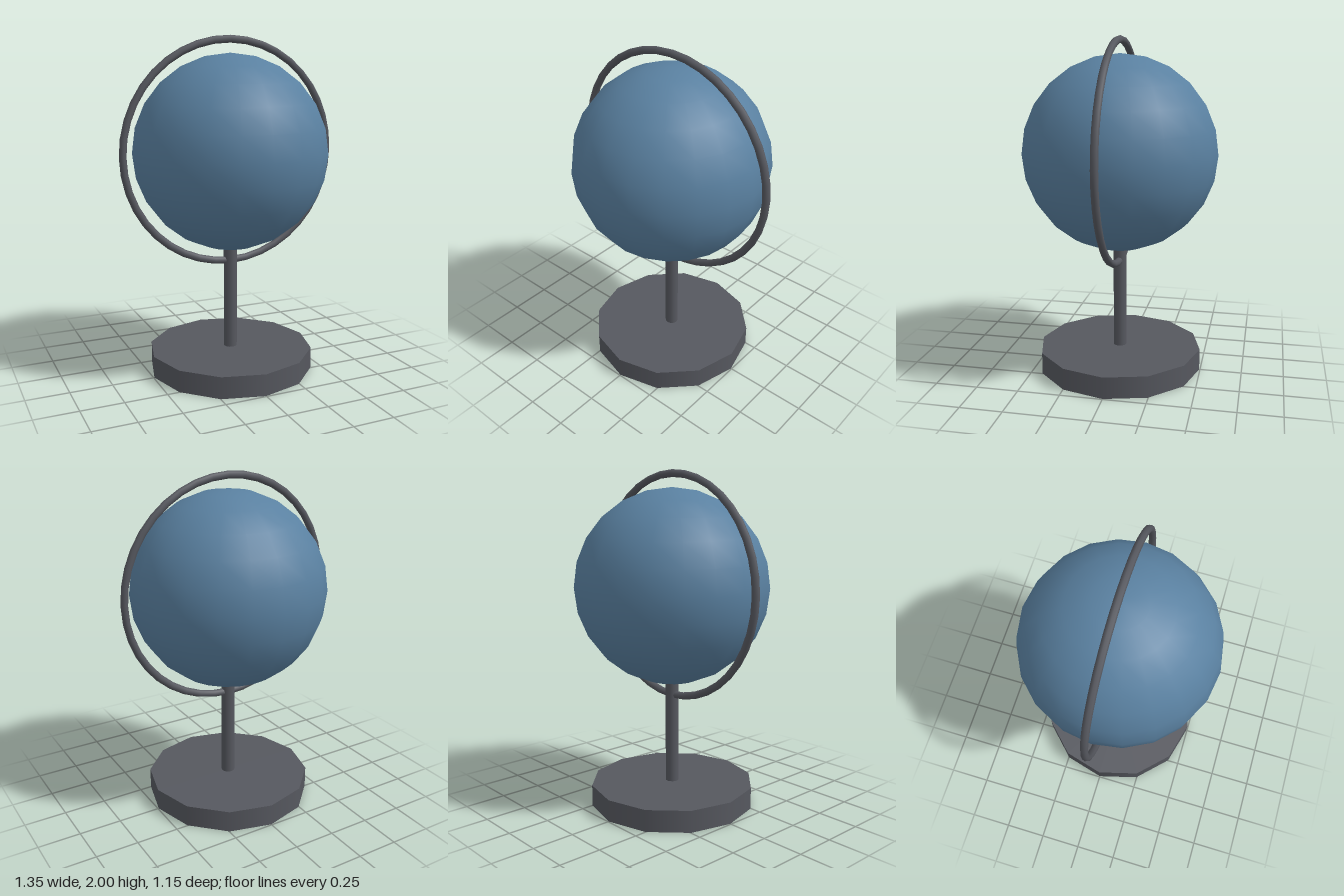
import * as THREE from 'three';

export function createModel() {
  const group = new THREE.Group();
  const metal = new THREE.MeshStandardMaterial({ color: 0x56585f });
  metal.name = 'dark grey metal';
  const blue = new THREE.MeshStandardMaterial({ color: 0x5a81a1 });
  blue.name = 'globe blue';

  const centreY = 1.325;
  const add = (name, geometry, material, y) => {
    const mesh = new THREE.Mesh(geometry, material);
    mesh.name = name;
    mesh.position.y = y;
    group.add(mesh);
  };

  // Round foot
  add('base', new THREE.CylinderGeometry(0.495, 0.495, 0.13, 12), metal, 0.065);

  // Pole from the foot into the underside of the globe
  add('pole', new THREE.CylinderGeometry(0.04, 0.04, 0.66, 12), metal, 0.45);

  // Ball
  add('globe', new THREE.SphereGeometry(0.575, 20, 12), blue, centreY);

  // Upright ring around the ball
  add('meridianRing', new THREE.TorusGeometry(0.653, 0.022, 8, 40), metal, centreY);

  return group;
}
